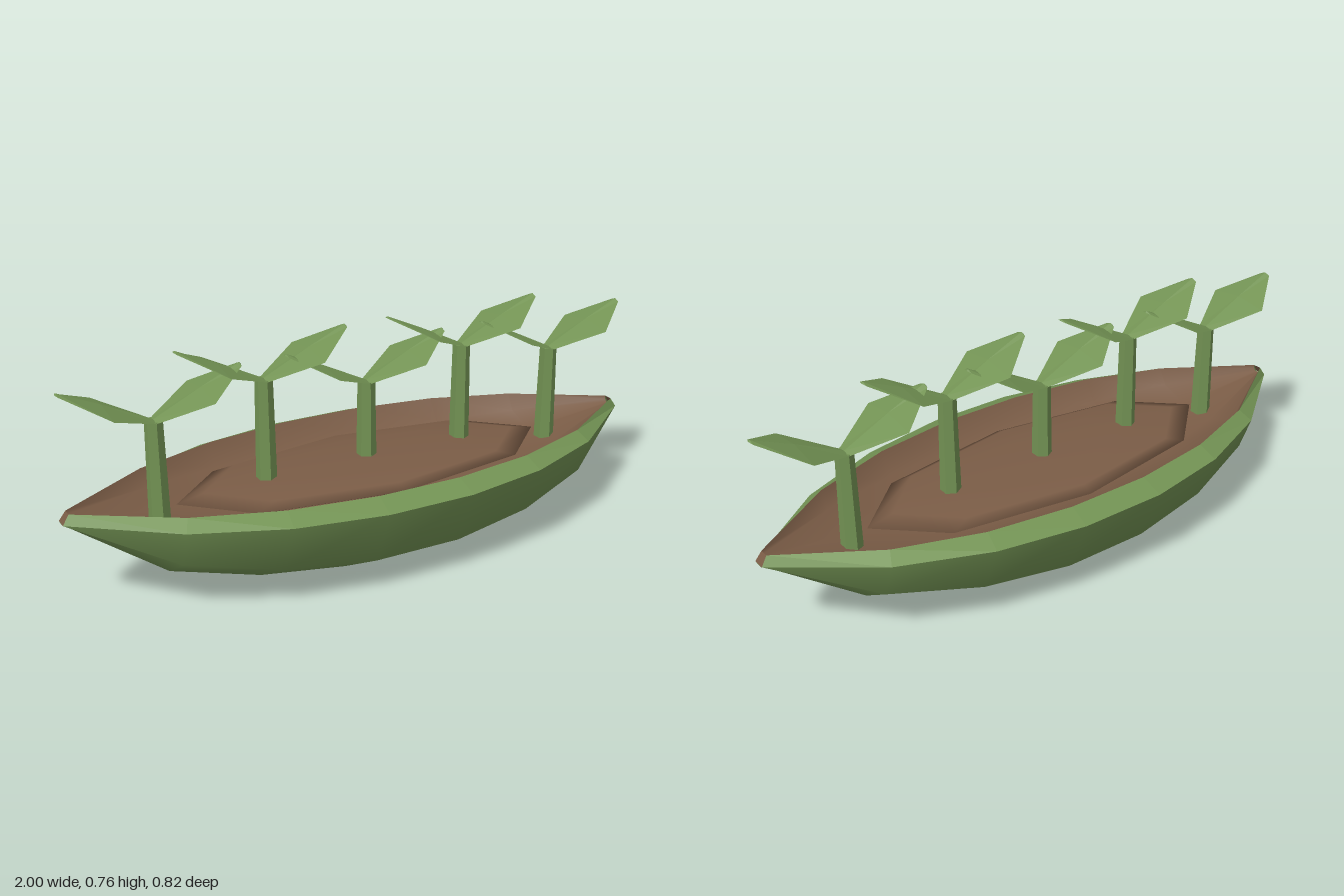
import * as THREE from 'three';

const leafGreen = new THREE.MeshStandardMaterial({ color: 0x739354, side: THREE.DoubleSide });
leafGreen.name = 'leaf green';
const soilBrown = new THREE.MeshStandardMaterial({ color: 0x7a5c46, side: THREE.DoubleSide });
soilBrown.name = 'soil brown';

// Skin a grid of points: rows of equal length, joined row to row
function skin(rows, { up = false, flat = false } = {}) {
  const n = rows[0].length;
  const index = [];
  for (let i = 0; i < rows.length - 1; i++) {
    for (let j = 0; j < n - 1; j++) {
      const a = i * n + j, b = a + n, c = a + 1, d = b + 1;
      if (up) index.push(a, b, c, b, d, c);
      else index.push(a, c, b, b, c, d);
    }
  }
  let g = new THREE.BufferGeometry();
  g.setAttribute('position', new THREE.Float32BufferAttribute(rows.flat(2), 3));
  g.setIndex(index);
  if (flat) g = g.toNonIndexed();
  g.computeVertexNormals();
  return g;
}

function add(parent, name, geometry, material) {
  const mesh = new THREE.Mesh(geometry, material);
  mesh.name = name;
  parent.add(mesh);
  return mesh;
}

// Stations from the middle to the tip
const stations = [
  { x: 0.145, w: 0.408, keel: 0, ix: 0.14, iw: 0.335, floor: 0.2 },
  { x: 0.43, w: 0.355, keel: 0.035, ix: 0.42, iw: 0.293, floor: 0.21 },
  { x: 0.71, w: 0.24, keel: 0.105, ix: 0.69, iw: 0.2, floor: 0.24 },
  { x: 1, w: 0.02, keel: 0.298, ix: 0.98, iw: 0.015, floor: 0.31 },
];
const allStations = [
  ...stations.map((s) => ({ ...s, x: -s.x, ix: -s.ix })).reverse(),
  ...stations,
];

// Cross-section from the left edge under to the right edge
function section(x, half) {
  const right = half.map(([z, y]) => [x, y, -z]).reverse();
  return [...half.map(([z, y]) => [x, y, z]), ...right];
}

function addBoat(model) {
  const hull = allStations.map((s) => section(s.x, [
    [s.w, 0.3],
    [s.w * 0.81, s.keel + (0.3 - s.keel) * 0.385],
    [s.w * 0.305, s.keel],
  ]));
  add(model, 'hull', skin(hull), leafGreen);

  const bowl = allStations.map((s) => section(s.ix, [
    [s.iw, 0.33],
    [s.iw * 0.85, s.floor + (0.33 - s.floor) * 0.4],
    [s.iw * 0.35, s.floor],
  ]));
  add(model, 'innerBowl', skin(bowl, { up: true }), soilBrown);

  // Sloping rim on both sides
  for (const side of [1, -1]) {
    const rim = allStations.map((s) => {
      const pair = [[s.x, 0.3, s.w * side], [s.ix, 0.33, s.iw * side]];
      return side > 0 ? pair : pair.reverse();
    });
    add(model, side > 0 ? 'frontRim' : 'backRim', skin(rim, { up: true, flat: true }), leafGreen);
  }

  // Small closing plates at the two tips
  for (const side of [1, -1]) {
    const plate = [
      [[side, 0.3, 0.02], [side * 0.98, 0.33, 0.015]],
      [[side, 0.3, -0.02], [side * 0.98, 0.33, -0.015]],
    ];
    add(model, side > 0 ? 'leftTip' : 'rightTip', skin(plate, { up: side < 0, flat: true }), soilBrown);
  }

  // Low soil mound
  const mound = new THREE.SphereGeometry(1, 8, 6).scale(0.65, 0.035, 0.25);
  add(model, 'soilMound', mound, soilBrown).position.y = 0.28;
}

// Folded diamond leaf: distance out, height, half width, fold height
const leafRows = [
  [0, -0.003, 0.028, 0.006],
  [0.15, 0.06, 0.113, 0.016],
  [0.275, 0.125, 0.018, 0.007],
  [0.28, 0.127, 0, 0],
].map(([x, y, w, fold]) => [
  [x, y, w], [x, y + fold, 0], [x, y, -w], [x, y + fold * 0.3, 0], [x, y, w],
]);
const leafGeometry = skin(leafRows, { up: true, flat: true });

function addSprout(model, x, top) {
  const sprout = new THREE.Group();
  sprout.name = 'sprout';
  sprout.position.x = x;
  const base = 0.22;
  const stem = new THREE.CylinderGeometry(0.028, 0.034, top - base, 6).toNonIndexed();
  stem.computeVertexNormals();
  add(sprout, 'stem', stem, leafGreen).position.y = (top + base) / 2;
  for (const turn of [0, Math.PI]) {
    const leaf = add(sprout, 'leaf', leafGeometry, leafGreen);
    leaf.position.y = top;
    leaf.rotation.y = turn;
  }
  model.add(sprout);
}

export function createModel() {
  const model = new THREE.Group();
  model.name = 'sproutBoat';
  addBoat(model);
  for (let i = -2; i <= 2; i++) addSprout(model, i * 0.352, i % 2 ? 0.628 : 0.562);
  return model;
}
